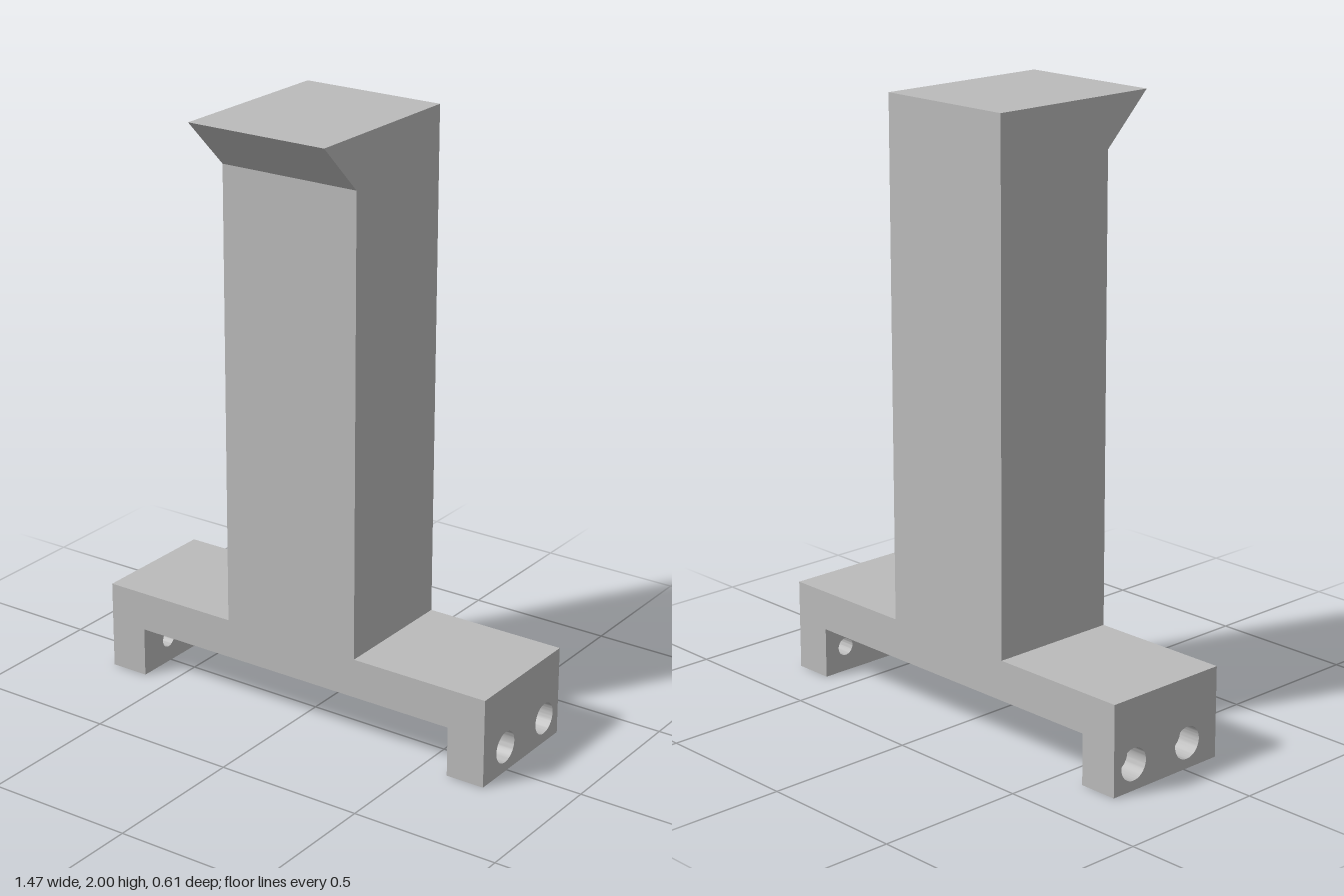
import * as THREE from 'three';
import { toCreasedNormals } from 'three/addons/utils/BufferGeometryUtils.js';

const BACK = -0.306, FRONT = 0.14, LIP = 0.306; // depth stations along z
const HALF = 0.733, INNER = 0.6, COLUMN = 0.247; // half widths along x
const SHOULDER = 0.3, UNDERSIDE = 0.168, TOP = 2;

// Extrude a side profile of [z, y] points from x0 to x1, with optional round holes
function sideExtrude(points, x0, x1, holes = []) {
  const shape = new THREE.Shape(points.map(([z, y]) => new THREE.Vector2(-z, y)));
  for (const [z, y, r] of holes) {
    const path = new THREE.Path();
    path.absarc(-z, y, r, 0, Math.PI * 2, true);
    shape.holes.push(path);
  }
  const geometry = new THREE.ExtrudeGeometry(shape, { depth: x1 - x0, bevelEnabled: false, curveSegments: 32 });
  geometry.rotateY(Math.PI / 2);
  geometry.translate(x0, 0, 0);
  return toCreasedNormals(geometry, 0.6);
}

export function createModel() {
  const model = new THREE.Group();
  model.name = 'bracketStand';
  const grey = new THREE.MeshStandardMaterial({ color: 0xbbbbbb });
  grey.name = 'grey';

  function add(name, geometry) {
    const mesh = new THREE.Mesh(geometry, grey);
    mesh.name = name;
    model.add(mesh);
  }

  // Upright column with the slanted lip at the top front
  const lipBase = TOP - (LIP - FRONT);
  add('columnWithLip', sideExtrude(
    [[BACK, SHOULDER], [BACK, TOP], [LIP, TOP], [FRONT, lipBase], [FRONT, SHOULDER]], -COLUMN, COLUMN));

  // Cross bar between the legs
  add('crossBar', sideExtrude(
    [[BACK, UNDERSIDE], [BACK, SHOULDER], [FRONT, SHOULDER], [FRONT, UNDERSIDE]], -INNER, INNER));

  // Legs: inner layer has the screw holes, outer layer the wider counterbores
  const legProfile = [[BACK, 0], [BACK, SHOULDER], [FRONT, SHOULDER], [FRONT, 0]];
  const step = 0.655;
  const holes = (r) => [0.012, -0.222].map((z) => [z, 0.085, r]);
  for (const [side, s] of [['left', 1], ['right', -1]]) {
    const layer = (a, b, r) => sideExtrude(legProfile, Math.min(s * a, s * b), Math.max(s * a, s * b), holes(r));
    add(side + 'LegInner', layer(INNER, step, 0.03));
    add(side + 'LegOuter', layer(step, HALF, 0.053));
  }
  return model;
}
